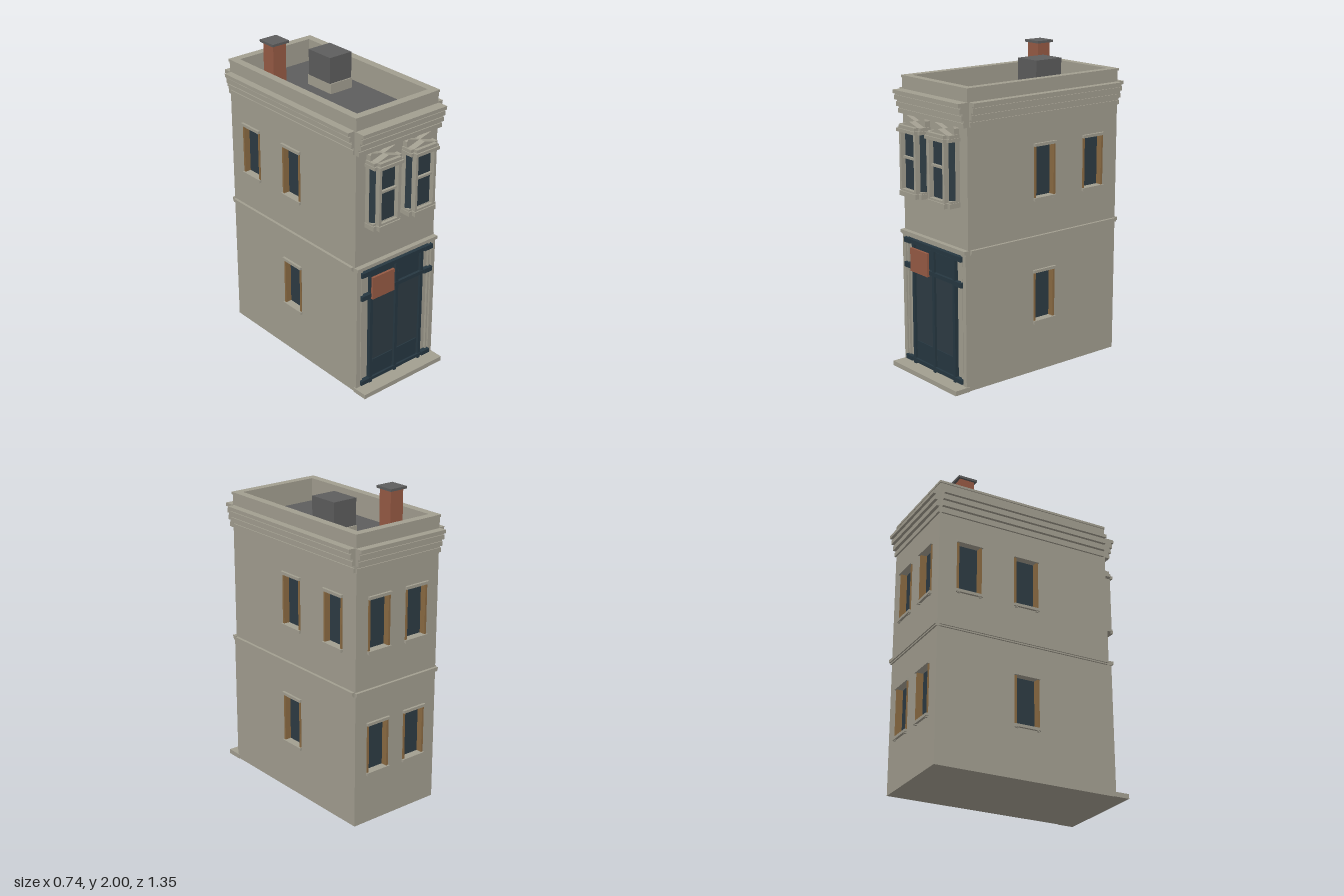
import * as THREE from 'three';

const mat = (name, color) => {
  const m = new THREE.MeshStandardMaterial({ color });
  m.name = name;
  return m;
};

export function createModel() {
  const stone = mat('stone', 0xa29e90);
  const roofGrey = mat('roof grey', 0x5d5d5d);
  const brick = mat('brick', 0x965a44);
  const wood = mat('wood', 0x8a6a42);
  const glass = mat('glass', 0x2d3b43);
  const trim = mat('dark trim', 0x263741);

  const model = new THREE.Group();
  model.name = 'townhouse';

  const add = (parent, name, geometry, material) => {
    const mesh = new THREE.Mesh(geometry, material);
    mesh.name = name;
    parent.add(mesh);
    return mesh;
  };
  // Box given by its two extreme corners
  const box = (parent, name, material, x0, x1, y0, y1, z0, z1) => {
    const mesh = add(parent, name, new THREE.BoxGeometry(x1 - x0, y1 - y0, z1 - z0), material);
    mesh.position.set((x0 + x1) / 2, (y0 + y1) / 2, (z0 + z1) / 2);
    return mesh;
  };
  const polygon = (points) => new THREE.Shape(points.map(([x, y]) => new THREE.Vector2(x, y)));
  const extrude = (shape, depth) => new THREE.ExtrudeGeometry(shape, { depth, bevelEnabled: false });
  const group = (name, parent = model) => {
    const g = new THREE.Group();
    g.name = name;
    parent.add(g);
    return g;
  };

  const W = 0.32, FRONT = 0.565, BACK = -0.625, TOP = 1.845, T = 0.045;

  // Recessed window: glass, wooden jambs, sill and lintel; wall face is z = 0
  function addWindow(wall, x, y0, y1) {
    const g = group('window', wall);
    g.position.x = x;
    box(g, 'windowPane', glass, -0.075, 0.075, y0, y1, -0.045, -0.035);
    for (const s of [-1, 1]) {
      const a = s * 0.07, b = s * 0.084;
      box(g, 'windowJamb', wood, Math.min(a, b), Math.max(a, b), y0, y1, -0.04, 0.005);
    }
    box(g, 'windowLintel', stone, -0.088, 0.088, y1 - 0.002, y1 + 0.016, -0.03, 0.016);
    box(g, 'windowSill', stone, -0.088, 0.088, y0 - 0.014, y0 + 0.004, -0.035, 0.016);
    for (const s of [-1, 1]) {
      box(g, 'sillBlock', stone, s * 0.072 - 0.009, s * 0.072 + 0.009, y0 - 0.02, y0 - 0.012, 0, 0.011);
    }
  }

  // Wall with window openings, facing local +z
  function addWall(name, length, windows, x, z, turn) {
    const wall = group(name);
    const h = length / 2;
    const shape = polygon([[-h, 0], [h, 0], [h, TOP], [-h, TOP]]);
    for (const [cx, y0, y1] of windows) {
      const hole = [[-0.08, y0], [-0.08, y1], [0.08, y1], [0.08, y0]];
      shape.holes.push(new THREE.Path(hole.map(([px, py]) => new THREE.Vector2(cx + px, py))));
      addWindow(wall, cx, y0, y1);
    }
    add(wall, name + 'Panel', extrude(shape, T), stone).position.z = -T;
    wall.position.set(x, 0, z);
    wall.rotation.y = turn;
  }
  const low = [0.333, 0.65], high = [1.12, 1.444];
  const midZ = (FRONT + BACK) / 2, sideLength = FRONT - BACK - 2 * T;
  for (const s of [1, -1]) {
    addWall(s > 0 ? 'leftWall' : 'rightWall', sideLength,
      [[-0.005 * s, ...low], [-0.005 * s, ...high], [0.39 * s, ...high]], s * W, midZ, s * Math.PI / 2);
  }
  addWall('backWall', 2 * W, [-0.145, 0.145].flatMap((x) => [[x, ...low], [x, ...high]]), 0, BACK, Math.PI);
  addWall('frontWall', 2 * W, [], 0, FRONT, 0);

  // Base, step and roof deck
  box(model, 'baseFloor', stone, -W + T, W - T, 0, 0.03, BACK + T, FRONT - T);
  box(model, 'frontStep', stone, -0.326, 0.326, 0, 0.03, FRONT, 0.672);
  box(model, 'roofDeck', roofGrey, -W + T, W - T, 1.67, 1.7, BACK + T, FRONT - T);

  // Moulding bands on all four sides, with open notched corners
  function addBand(name, y0, y1, out, extra) {
    const g = group(name);
    box(g, name + 'Front', stone, -0.325, 0.325, y0, y1, FRONT, FRONT + out + extra);
    box(g, name + 'Back', stone, -0.325, 0.325, y0, y1, BACK - out, BACK);
    box(g, name + 'Left', stone, W, W + out, y0, y1, -0.615, 0.552);
    box(g, name + 'Right', stone, -W - out, -W, y0, y1, -0.615, 0.552);
  }
  for (const [y0, y1, out] of [
    [1.62, 1.648, 0.012], [1.648, 1.662, 0.005], [1.662, 1.69, 0.025], [1.69, 1.704, 0.018],
    [1.704, 1.733, 0.037], [1.733, 1.743, 0.03], [1.743, 1.765, 0.048]]) {
    addBand('cornice', y0, y1, out, 0.02);
  }
  addBand('beltCourse', 0.864, 0.885, 0.018, 0.014);
  addBand('beltLip', 0.855, 0.864, 0.01, 0.012);

  // Parapet coping
  for (const s of [-1, 1]) {
    box(model, 'sideCoping', stone, s * 0.3 - 0.026, s * 0.3 + 0.026, 1.833, 1.848, BACK - 0.004, FRONT + 0.004);
    const z = s > 0 ? FRONT - 0.021 : BACK + 0.021;
    box(model, 'endCoping', stone, -0.275, 0.275, 1.833, 1.848, z - 0.026, z + 0.026);
  }

  // Chimney and roof hatch
  box(model, 'chimney', brick, -0.202, -0.105, 1.69, 1.985, -0.432, -0.334);
  box(model, 'chimneyCap', roofGrey, -0.216, -0.09, 1.985, 2, -0.448, -0.32);
  box(model, 'hatchBase', stone, 0.021, 0.189, 1.69, 1.765, -0.278, -0.058);
  box(model, 'hatch', roofGrey, 0.02, 0.19, 1.765, 1.932, -0.268, -0.066);

  // Bay windows of the upper floor
  for (const x of [-0.142, 0.142]) {
    const bay = group('bayWindow');
    bay.position.x = x;
    const core = extrude(polygon([[-0.103, -FRONT], [-0.103, -0.6], [-0.08, -0.63],
      [0.08, -0.63], [0.103, -0.6], [0.103, -FRONT]]), 0.38);
    core.rotateX(-Math.PI / 2);
    add(bay, 'bayGlass', core, glass).position.y = 1.16;
    for (const [name, y0, y1, grow] of [['baySill', 1.135, 1.165, 0], ['bayFoot', 1.165, 1.178, -0.008],
      ['bayHead', 1.53, 1.55, 0.008], ['bayCrown', 1.55, 1.57, -0.002]]) {
      box(bay, name, stone, -0.108 - grow / 2, 0.108 + grow / 2, y0, y1, FRONT, 0.642 + grow);
      box(bay, name + 'Front', stone, -0.084 - grow, 0.084 + grow, y0, y1, 0.64, 0.668 + grow);
    }
    for (const s of [-1, 1]) {
      box(bay, 'bayPost', stone, s * 0.073 - 0.009, s * 0.073 + 0.009, 1.17, 1.54, 0.628, 0.662);
      box(bay, 'wallPost', stone, s * 0.1 - 0.005, s * 0.1 + 0.005, 1.16, 1.54, FRONT, 0.597);
    }
    box(bay, 'meetingRail', stone, -0.066, 0.066, 1.366, 1.38, 0.628, 0.648);
    // Low gabled hood with raised ends behind it
    add(bay, 'hoodGable', extrude(polygon([[-0.085, 1.57], [0.085, 1.57], [0, 1.595]]), 0.078), stone).position.z = FRONT;
    add(bay, 'hoodCrest', extrude(polygon([[-0.1, 1.57], [0.1, 1.57], [0.1, 1.605], [0.09, 1.618],
      [0, 1.592], [-0.09, 1.618], [-0.1, 1.605]]), 0.034), stone).position.z = FRONT;
  }

  // Shopfront: corner pilasters, doors, framing bars
  const shop = group('shopfront');
  box(shop, 'doorLeaves', glass, -0.21, 0.21, 0.03, 0.84, FRONT, 0.575);
  for (const s of [-1, 1]) {
    box(shop, 'cornerPilaster', stone, s * 0.305 - 0.015, s * 0.305 + 0.015, 0.03, 0.857, FRONT, 0.584);
    box(shop, 'sidePilaster', stone, s * 0.275 - 0.006, s * 0.275 + 0.006, 0.03, 0.857, FRONT, 0.58);
    const c = s * 0.103;
    box(shop, 'lowerPanel', trim, c - 0.083, c + 0.083, 0.068, 0.185, 0.575, 0.581);
    box(shop, 'upperPanel', trim, c - 0.083, c + 0.083, 0.685, 0.808, 0.575, 0.581);
  }
  for (const x of [-0.206, 0, 0.206]) {
    box(shop, 'doorPost', trim, x - 0.011, x + 0.011, 0.03, 0.84, FRONT, 0.59);
  }
  for (const [y0, y1] of [[0.045, 0.067], [0.655, 0.68], [0.815, 0.84]]) {
    box(shop, 'crossBar', trim, -0.285, 0.285, y0, y1, FRONT, 0.593);
    for (const x of [-0.257, 0.257]) {
      box(shop, 'barEnd', trim, x - 0.033, x + 0.033, y0 - 0.003, y1 + 0.003, 0.57, 0.598);
    }
  }
  box(shop, 'hangingBoard', brick, -0.212, -0.037, 0.642, 0.792, 0.59, 0.606);

  return model;
}
